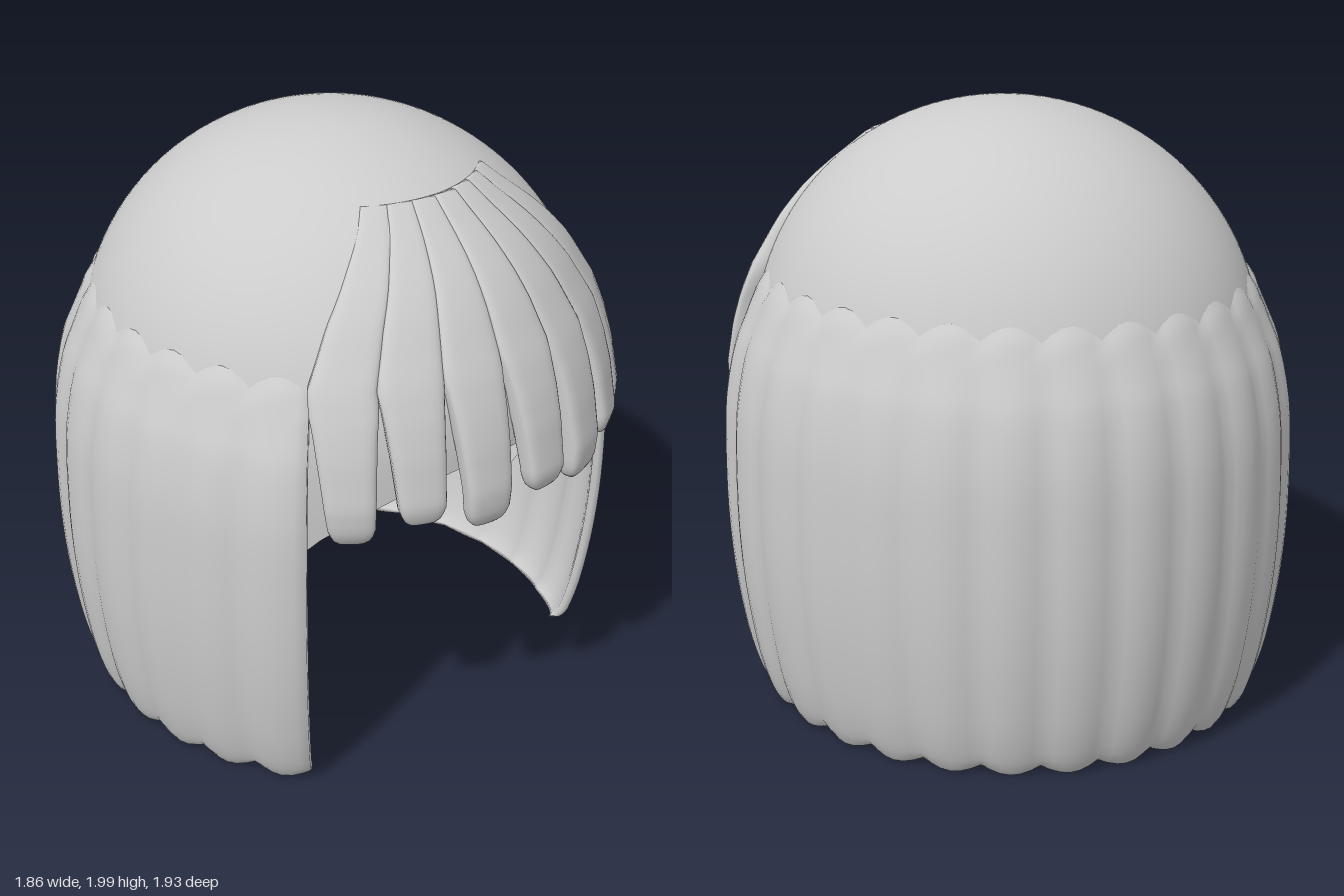
import * as THREE from 'three';

const DEG = Math.PI / 180;

// Piecewise interpolation through [key, value] pairs with ascending keys
function table(pairs, k) {
  if (k <= pairs[0][0]) return pairs[0][1];
  for (let i = 1; i < pairs.length; i++) {
    const [k0, v0] = pairs[i - 1], [k1, v1] = pairs[i];
    if (k <= k1) return v0 + (v1 - v0) * (k - k0) / (k1 - k0);
  }
  return pairs[pairs.length - 1][1];
}

// Smooth surface from rows of points; loopU / loopV join the last column / row to the first
function surface(nu, nv, fn, loopU = false, loopV = false) {
  const pos = [], index = [];
  const cu = loopU ? nu : nu + 1, cv = loopV ? nv : nv + 1;
  for (let j = 0; j < cv; j++)
    for (let i = 0; i < cu; i++) pos.push(...fn(i, j));
  for (let j = 0; j < nv; j++)
    for (let i = 0; i < nu; i++) {
      const i1 = (i + 1) % cu, j1 = (j + 1) % cv;
      const a = j * cu + i, b = j * cu + i1, c = j1 * cu + i1, d = j1 * cu + i;
      index.push(a, d, b, b, d, c);
    }
  const g = new THREE.BufferGeometry();
  g.setAttribute('position', new THREE.Float32BufferAttribute(pos, 3));
  g.setIndex(index);
  g.computeVertexNormals();
  return g;
}

// Domed cap with an arched opening at the face and a low edge at the nape
const RIM = [[0, 1.18], [14, 1.17], [25, 1.13], [34, 1.07], [42, 1.0], [49, 0.92], [55, 0.82],
  [62, 0.73], [70, 0.62], [75, 0.48], [82, 0.5], [95, 0.54], [125, 0.54], [155, 0.51], [180, 0.5]];
function capGeometry() {
  const nu = 120, nv = 40, cy = 1.18, r = 0.82;
  return surface(nu, nv, (i, j) => {
    const a = i / nu * 360;
    const rim = table(RIM, Math.min(a, 360 - a));
    const end = Math.acos((rim - cy) / (rim > cy ? r : 1.4));
    const phi = end * j / nv;
    const c = Math.cos(phi), s = r * Math.sin(phi);
    return [s * Math.sin(a * DEG), cy + c * (c > 0 ? r : 1.4), s * 1.05 * Math.cos(a * DEG)];
  }, true);
}

// Thick curtain of hair around the sides and back, gently scalloped
function curtainGeometry() {
  const profile = new THREE.SplineCurve([[0.765, 1.46], [0.805, 1.4], [0.848, 1.3], [0.885, 1.2],
    [0.918, 1.02], [0.927, 0.8], [0.925, 0.6], [0.91, 0.4], [0.88, 0.2], [0.845, 0.07], [0.815, 0.012]]
    .map(p => new THREE.Vector2(...p)));
  const m = 32, locks = 20, per = 6, nu = locks * per + 2, thick = 0.036;
  const pts = profile.getPoints(m - 1);
  return surface(2 * m, nu, (i, j) => {
    const outer = i < m;
    const k = outer ? i : 2 * m - 1 - i;
    const f = Math.min(Math.max(j - 1, 0), nu - 2) / (nu - 2);
    const a = (50 + 260 * f) * DEG;
    // Extra first and last slices close the ends on the middle of the wall
    const depth = j === 0 || j === nu ? thick / 2 : outer ? 0 : thick;
    const wave = Math.abs(Math.sin(f * locks * Math.PI));
    const low = k / (m - 1);
    const grow = (wave - 0.6) * 0.018 * Math.min(1, low * 3);
    const r = pts[k].x + grow - depth;
    const y = pts[k].y + (1 - wave) * 0.022 * Math.max(0, low - 0.9) * 10
      + (low < 0.1 ? (wave - 0.5) * 0.02 : 0);
    return [r * Math.sin(a), Math.max(0, y), r * 1.045 * Math.cos(a)];
  }, true);
}

// One tapered lock of the fringe; n runs from -3 to 3 across the forehead
const OUT = [[0.95, 0.935], [1.02, 0.955], [1.1, 0.96], [1.25, 0.932], [1.35, 0.902], [1.45, 0.86],
  [1.6, 0.772], [1.68, 0.71], [1.74, 0.65], [1.8, 0.58], [1.865, 0.495]];
const SPREAD = [[1.0, 47], [1.45, 49], [1.6, 45.5], [1.74, 40], [1.865, 34]];
function lockGeometry(n) {
  const side = Math.abs(n);
  const tip = [1.04, 0.98, 1.035, 0.975][side];
  const gap = [1.48, 1.46, 1.43, 1.38][side];
  const rows = 26, around = 24;
  const pow = v => Math.sign(v) * Math.sqrt(Math.abs(v));
  return surface(around, rows + 2, (i, j) => {
    const t = Math.min(Math.max(j - 1, 0), rows) / rows;
    const y = 1.868 + (tip - 1.868) * (1 - (1 - t) ** 1.3);
    const spread = table(SPREAD, y);
    const cell = spread / 7;
    const free = Math.max(0, (gap - y) / (gap - tip));
    let half = cell * 1.03 + (4.3 - cell * 1.03) * Math.min(1, free ** 0.7);
    let thick = table([[1.0, 0.035], [1.3, 0.045], [1.5, 0.035], [1.865, 0.015]], y);
    const r = table(OUT, y) - thick - side * 0.006;
    // Round the tip, then close both ends
    const round = Math.sqrt(Math.min(1, Math.max(0, (y - tip) / 0.05)));
    half *= 0.65 + 0.35 * round;
    thick *= 0.6 + 0.4 * round;
    if (j === 0 || j === rows + 2) { half = 0; thick = 0; }
    const psi = -i / around * Math.PI * 2;
    const a = (n * cell * 2 + half * pow(Math.cos(psi))) * DEG;
    const rr = r + thick * pow(Math.sin(psi));
    return [rr * Math.sin(a), y, rr * Math.cos(a)];
  }, true);
}

export function createModel() {
  const hair = new THREE.MeshStandardMaterial({ color: 0xcccccc, side: THREE.DoubleSide });
  hair.name = 'hair grey';
  const model = new THREE.Group();
  model.name = 'bobHair';
  const add = (name, geometry, parent = model) => {
    const mesh = new THREE.Mesh(geometry, hair);
    mesh.name = name;
    parent.add(mesh);
  };

  add('cap', capGeometry());
  add('sideAndBackHair', curtainGeometry());

  const fringe = new THREE.Group();
  fringe.name = 'fringe';
  for (let n = -3; n <= 3; n++) add('fringeLock' + (n + 4), lockGeometry(n), fringe);
  model.add(fringe);
  return model;
}
